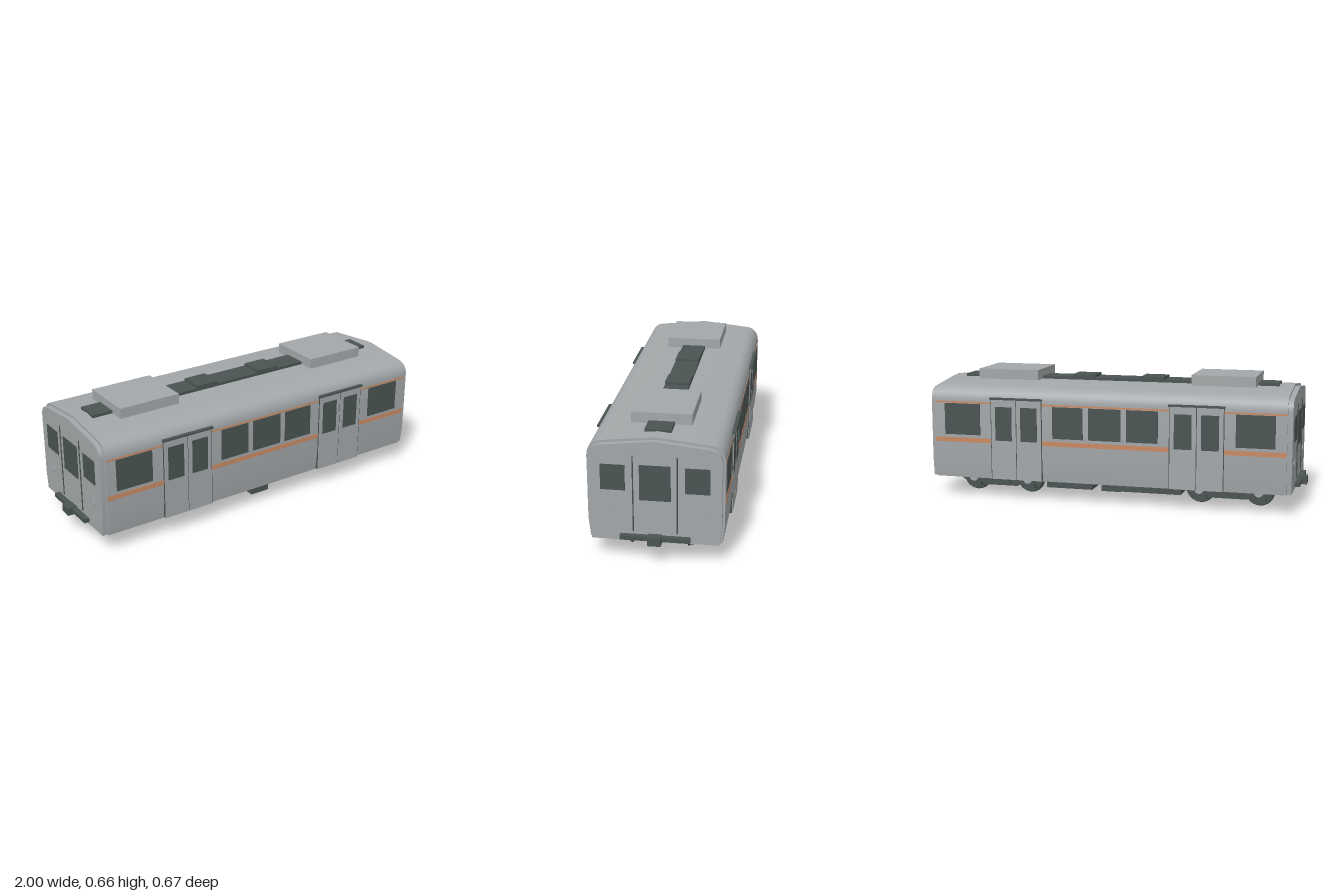
import * as THREE from 'three';
import { toCreasedNormals } from 'three/addons/utils/BufferGeometryUtils.js';

const material = (name, color) => {
  const m = new THREE.MeshStandardMaterial({ color });
  m.name = name;
  return m;
};

export function createModel() {
  const model = new THREE.Group();
  model.name = 'railCar';
  const silver = material('silver', 0xa3a7a9);
  const dark = material('dark grey', 0x4a5452);
  const orange = material('orange', 0xc98a63);

  const add = (name, geo, mat, parent = model) => {
    const mesh = new THREE.Mesh(geo, mat);
    mesh.name = name;
    parent.add(mesh);
    return mesh;
  };
  // box given by its limits on each axis
  const box = (name, mat, x0, x1, y0, y1, z0, z1, parent = model) => {
    const mesh = add(name, new THREE.BoxGeometry(x1 - x0, y1 - y0, z1 - z0), mat, parent);
    mesh.position.set((x0 + x1) / 2, (y0 + y1) / 2, (z0 + z1) / 2);
    return mesh;
  };

  // body cross-section, shrunk by an inset and extruded along x
  const bodySection = (inset, halfLength) => {
    const w = 0.321 - inset, top = 0.614 - inset;
    const s = new THREE.Shape();
    s.moveTo(-w + 0.01, 0.1);
    s.lineTo(w - 0.01, 0.1);
    s.lineTo(w, 0.19);
    s.lineTo(w, 0.51);
    s.bezierCurveTo(w, 0.55, w - 0.025, top - 0.03, w - 0.065, top - 0.027);
    s.lineTo(0, top);
    s.lineTo(-w + 0.065, top - 0.027);
    s.bezierCurveTo(-w + 0.025, top - 0.03, -w, 0.55, -w, 0.51);
    s.lineTo(-w, 0.19);
    const g = new THREE.ExtrudeGeometry(s, { depth: halfLength * 2, bevelEnabled: false, curveSegments: 10 });
    g.translate(0, 0, -halfLength);
    g.rotateY(Math.PI / 2);
    return toCreasedNormals(g, 0.6);
  };
  add('bodyShell', bodySection(0, 0.925), silver);
  add('endPanels', bodySection(0.011, 0.95), silver);

  // sides: stripes, windows and sliding doors
  for (const s of [1, -1]) {
    const side = new THREE.Group();
    side.name = s > 0 ? 'frontSide' : 'backSide';
    side.rotation.y = s > 0 ? 0 : Math.PI;
    model.add(side);
    for (const [a, b] of [[-0.924, -0.613], [-0.338, 0.338], [0.613, 0.924]]) {
      box('lowerStripe', orange, a, b, 0.29, 0.314, 0.318, 0.3222, side);
      box('upperStripe', orange, a, b, 0.497, 0.506, 0.318, 0.3222, side);
    }
    for (const [a, b] of [[-0.872, -0.675], [-0.278, -0.115], [-0.085, 0.085], [0.115, 0.278], [0.672, 0.868]])
      box('sideWindow', dark, a, b, 0.33, 0.495, 0.318, 0.324, side);
    for (const c of [-0.475, 0.475]) {
      box('doorGap', dark, c - 0.14, c + 0.14, 0.105, 0.523, 0.31, 0.3235, side);
      box('doorRail', dark, c - 0.143, c + 0.143, 0.523, 0.533, 0.31, 0.336, side);
      for (const d of [-1, 1]) {
        const m = c + d * 0.069;
        box('doorLeaf', silver, m - 0.067, m + 0.067, 0.102, 0.521, 0.3, 0.3255, side);
        box('doorWindow', dark, m - 0.045, m + 0.045, 0.307, 0.485, 0.32, 0.327, side);
      }
    }
  }

  // ends: windows, handrails, lamps, bumper and coupler
  for (const s of [1, -1]) {
    const end = new THREE.Group();
    end.name = s > 0 ? 'leftEnd' : 'rightEnd';
    end.rotation.y = s > 0 ? 0 : Math.PI;
    model.add(end);
    box('endDoorWindow', dark, 0.947, 0.954, 0.31, 0.485, -0.073, 0.073, end);
    for (const d of [1, -1]) {
      const z = d * 0.197;
      box('endWindow', dark, 0.947, 0.954, 0.355, 0.481, z - 0.0575, z + 0.0575, end);
      const rail = add('handrail', new THREE.CylinderGeometry(0.003, 0.003, 0.38, 8), dark, end);
      rail.position.set(0.953, 0.34, d * 0.103);
      const lamp = add('lamp', new THREE.CylinderGeometry(0.018, 0.018, 0.008, 24), silver, end);
      lamp.rotation.z = Math.PI / 2;
      lamp.position.set(0.95, 0.243, d * 0.218);
    }
    box('bumper', dark, 0.945, 0.977, 0.113, 0.134, -0.165, 0.165, end);
    box('coupler', dark, 0.94, 1.0, 0.1, 0.139, -0.032, 0.032, end);
  }

  // roof equipment
  box('roofDuct', dark, -0.85, 0.85, 0.6, 0.622, -0.0625, 0.0625);
  for (const c of [-0.19, 0.185]) box('roofVent', dark, c - 0.062, c + 0.062, 0.615, 0.635, -0.0625, 0.0625);
  for (const c of [-0.578, 0.578]) box('airConditioner', silver, c - 0.165, c + 0.165, 0.608, 0.661, -0.145, 0.145);

  // equipment boxes under the floor
  box('underfloorBoxLarge', dark, -0.375, -0.055, 0.045, 0.1, -0.205, 0.205);
  box('underfloorBoxNarrow', dark, -0.055, 0.05, 0.042, 0.1, -0.205, 0.27);
  box('underfloorBoxSmall', dark, 0.1, 0.35, 0.045, 0.1, -0.205, 0.15);

  // bogies
  const wheelProfile = [[0, -0.012], [0.077, -0.012], [0.077, -0.007], [0.071, -0.004], [0.069, 0.012], [0, 0.012]]
    .map(([r, y]) => new THREE.Vector2(r, y));
  const wheelGeo = toCreasedNormals(new THREE.LatheGeometry(wheelProfile, 32), 0.5);
  // side frame: straight top, arms at the axles, dropped centre
  const frameShape = new THREE.Shape([[-0.225, 0.1], [-0.225, 0.07], [-0.19, 0.05], [-0.115, 0.05], [-0.09, 0.038],
    [0.09, 0.038], [0.115, 0.05], [0.19, 0.05], [0.225, 0.07], [0.225, 0.1]].map(([x, y]) => new THREE.Vector2(x, y)));
  const frameGeo = new THREE.ExtrudeGeometry(frameShape, { depth: 0.022, bevelEnabled: false });
  for (const c of [-0.622, 0.612]) {
    const bogie = new THREE.Group();
    bogie.name = c < 0 ? 'rightBogie' : 'leftBogie';
    bogie.position.x = c;
    model.add(bogie);
    box('bolster', dark, -0.05, 0.05, 0.06, 0.1, -0.17, 0.17, bogie);
    for (const s of [1, -1]) {
      const frame = add('sideFrame', frameGeo, dark, bogie);
      frame.position.z = s * 0.178 - 0.011;
      box('springBox', dark, -0.05, 0.05, 0.045, 0.098, s * 0.195 - 0.011, s * 0.195 + 0.011, bogie);
    }
    for (const x of [-0.153, 0.153]) {
      const axle = add('axle', new THREE.CylinderGeometry(0.013, 0.013, 0.35, 16), dark, bogie);
      axle.rotation.x = Math.PI / 2;
      axle.position.set(x, 0.078, 0);
      for (const s of [1, -1]) {
        const wheel = add('wheel', wheelGeo, dark, bogie);
        wheel.rotation.x = s * Math.PI / 2;
        wheel.position.set(x, 0.077, s * 0.147);
        box('axleBox', dark, x - 0.035, x + 0.035, 0.03, 0.1, s * 0.178 - 0.013, s * 0.178 + 0.013, bogie);
        const cap = add('bearingCap', new THREE.CylinderGeometry(0.024, 0.024, 0.016, 20), silver, bogie);
        cap.rotation.x = Math.PI / 2;
        cap.position.set(x, 0.081, s * 0.198);
      }
    }
  }
  return model;
}
